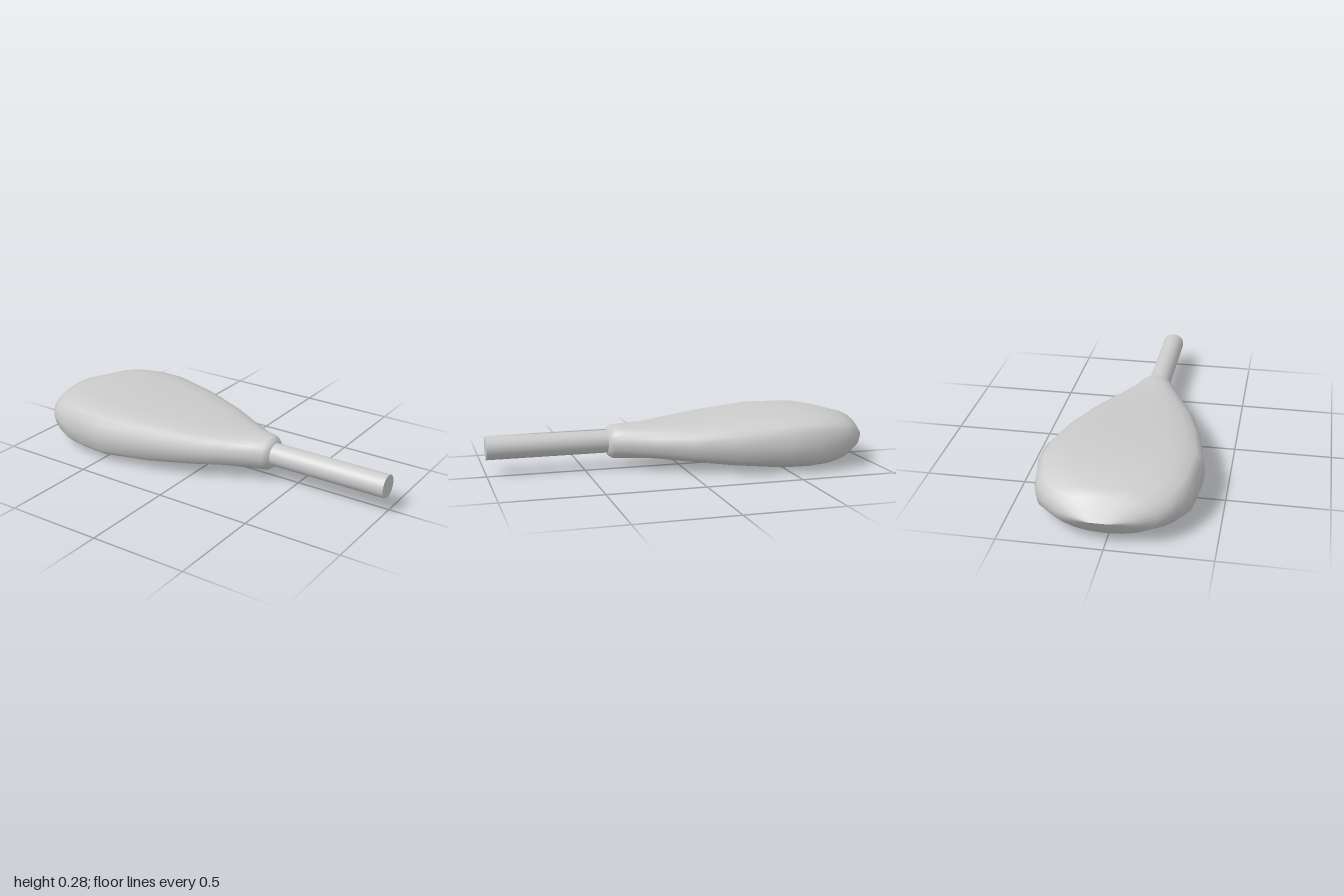
import * as THREE from 'three';

const MID_Y = 0.14;
const SIDES = 20;

// Body stations: x, z min, z max, half height, squareness of the section
const STATIONS = [
  [-1, -0.07, 0.03, 0, 2],
  [-0.97, -0.17, 0.14, 0.042, 2],
  [-0.93, -0.24, 0.235, 0.095, 2.1],
  [-0.87, -0.305, 0.3, 0.11, 2.4],
  [-0.81, -0.355, 0.335, 0.124, 2.8],
  [-0.73, -0.38, 0.368, 0.138, 3.2],
  [-0.62, -0.4, 0.382, 0.139, 3.5],
  [-0.48, -0.397, 0.395, 0.139, 3.5],
  [-0.22, -0.335, 0.347, 0.12, 3.3],
  [0, -0.25, 0.28, 0.1, 3],
  [0.15, -0.168, 0.212, 0.089, 2.6],
  [0.29, -0.09, 0.145, 0.089, 2.2],
  [0.35, -0.07, 0.125, 0.088, 2],
  [0.375, -0.045, 0.1, 0.073, 2],
  [0.38, -0.02, 0.08, 0.05, 2],
];

const softPower = (v, n) => Math.sign(v) * Math.pow(Math.abs(v), 2 / n);

// Skins superellipse sections along x
function bodyGeometry() {
  const positions = [];
  const index = [];
  STATIONS.forEach(([x, z0, z1, h, n], i) => {
    for (let j = 0; j < SIDES; j++) {
      const a = (j / SIDES) * Math.PI * 2;
      const z = (z0 + z1) / 2 + ((z1 - z0) / 2) * softPower(Math.cos(a), n);
      positions.push(x, MID_Y + h * softPower(Math.sin(a), n), z);
      if (i === STATIONS.length - 1) continue;
      const k = (j + 1) % SIDES;
      const p = i * SIDES + j, q = i * SIDES + k;
      index.push(p, p + SIDES, q + SIDES, p, q + SIDES, q);
    }
  });
  const geometry = new THREE.BufferGeometry();
  geometry.setAttribute('position', new THREE.Float32BufferAttribute(positions, 3));
  geometry.setIndex(index);
  geometry.computeVertexNormals();
  return geometry;
}

export function createModel() {
  const group = new THREE.Group();
  const material = new THREE.MeshStandardMaterial({ color: 0xcccccc });

  // Flattened teardrop body with a rounded collar
  const body = new THREE.Mesh(bodyGeometry(), material);
  body.name = 'body';
  group.add(body);

  // Straight round rod, seated in the collar
  const rod = new THREE.Mesh(new THREE.CylinderGeometry(0.059, 0.059, 0.7, 32), material);
  rod.name = 'rod';
  rod.rotation.z = -Math.PI / 2;
  rod.position.set(0.65, MID_Y, 0.032);
  group.add(rod);

  return group;
}
